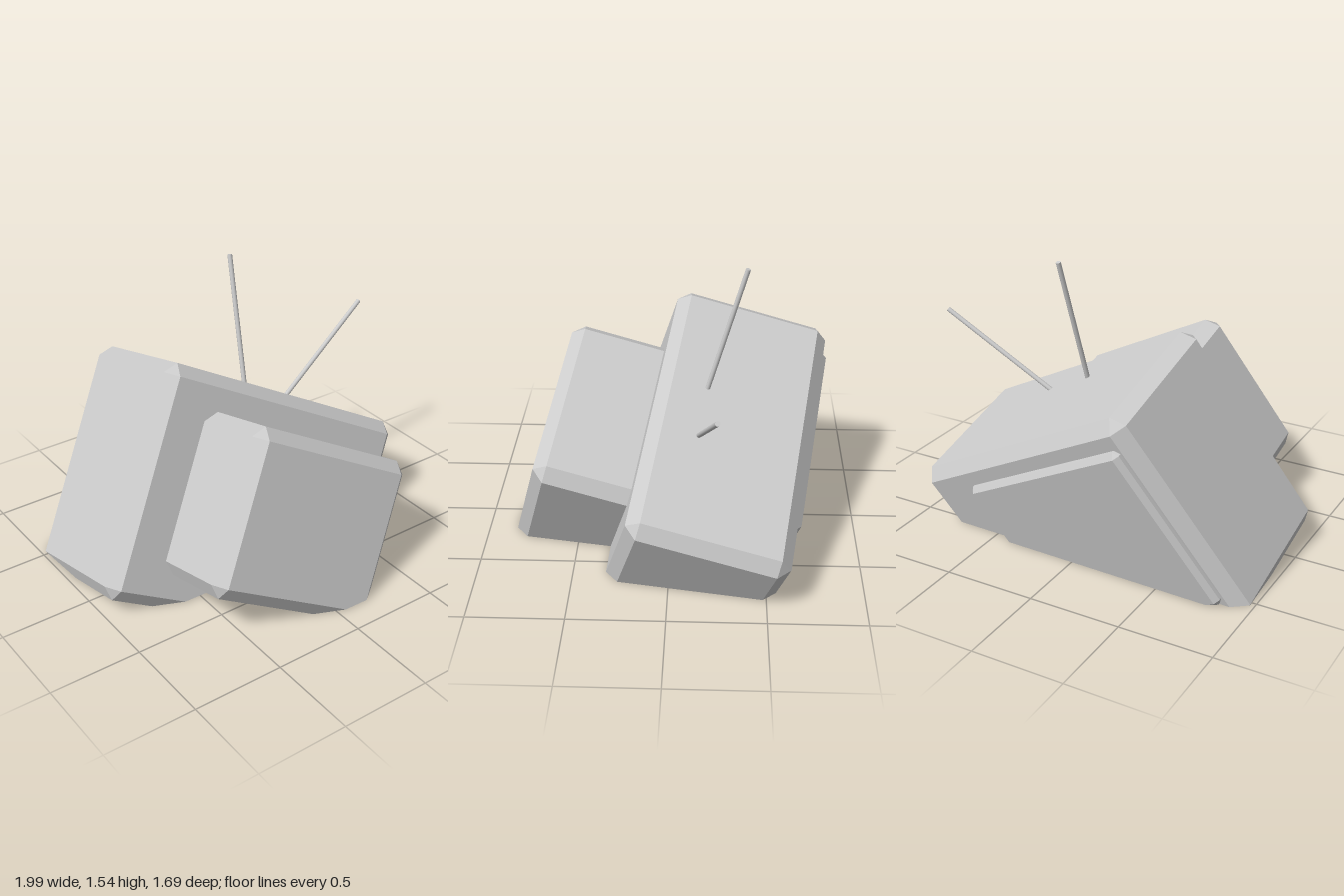
import * as THREE from 'three';
import { ConvexGeometry } from 'three/addons/geometries/ConvexGeometry.js';

// Tilt shared by the whole half-sunken set
const TILT = new THREE.Euler(-0.2744, -0.0226, -0.5139);

// Bevelled box given in the tilted frame, cut flat where it meets the ground
function sunkenBox(min, max, bevel) {
  const corners = [];
  for (const sx of [0, 1]) for (const sy of [0, 1]) for (const sz of [0, 1]) {
    const signs = [sx, sy, sz];
    for (let axis = 0; axis < 3; axis++) {
      // each corner becomes three points, one on each adjoining face
      const c = signs.map((s, i) => {
        const inset = i === axis ? 0 : bevel;
        return s ? max[i] - inset : min[i] + inset;
      });
      corners.push({ signs, axis, p: new THREE.Vector3(...c).applyEuler(TILT) });
    }
  }

  const points = corners.filter(c => c.p.y >= 0).map(c => c.p);
  corners.forEach((a, i) => corners.slice(i + 1).forEach(b => {
    const changed = [0, 1, 2].filter(k => a.signs[k] !== b.signs[k]);
    const isEdge = changed.length === 0 ||
      (changed.length === 1 && a.axis === b.axis && changed[0] !== a.axis);
    if (isEdge && a.p.y * b.p.y < 0) {
      const cut = a.p.clone().lerp(b.p, a.p.y / (a.p.y - b.p.y));
      cut.y = 0;
      points.push(cut);
    }
  }));
  return new ConvexGeometry(points);
}

// Straight rod between two points
function rod(from, to, radius) {
  const a = new THREE.Vector3(...from);
  const dir = new THREE.Vector3(...to).sub(a);
  const geometry = new THREE.CylinderGeometry(radius, radius, dir.length(), 12);
  geometry.translate(0, dir.length() / 2, 0);
  geometry.applyQuaternion(new THREE.Quaternion().setFromUnitVectors(
    new THREE.Vector3(0, 1, 0), dir.normalize()));
  geometry.translate(a.x, a.y, a.z);
  return geometry;
}

export function createModel() {
  const model = new THREE.Group();
  model.name = 'sunkenTelevision';
  const grey = new THREE.MeshStandardMaterial({ color: 0xcccccc });
  grey.name = 'light grey';

  const add = (name, geometry) => {
    const mesh = new THREE.Mesh(geometry, grey);
    mesh.name = name;
    model.add(mesh);
  };

  // Casing, protruding screen block and thin rear panel
  add('casing', sunkenBox([-0.931, -0.423, -0.546], [0.63, 0.837, 0.303], 0.064));
  add('screenBlock', sunkenBox([-0.655, -0.23, 0.1], [0.357, 0.649, 0.812], 0.064));
  add('rearPanel', sunkenBox([-0.857, -0.27, -0.588], [0.28, 0.695, -0.5], 0.026));

  // Pair of antennas on the top face
  add('rightAntenna', rod([0.142, 0.85, -0.185], [0.186, 1.54, -0.38], 0.013));
  add('leftAntenna', rod([0.39, 0.71, -0.144], [0.99, 1.105, -0.238], 0.013));

  return model;
}
